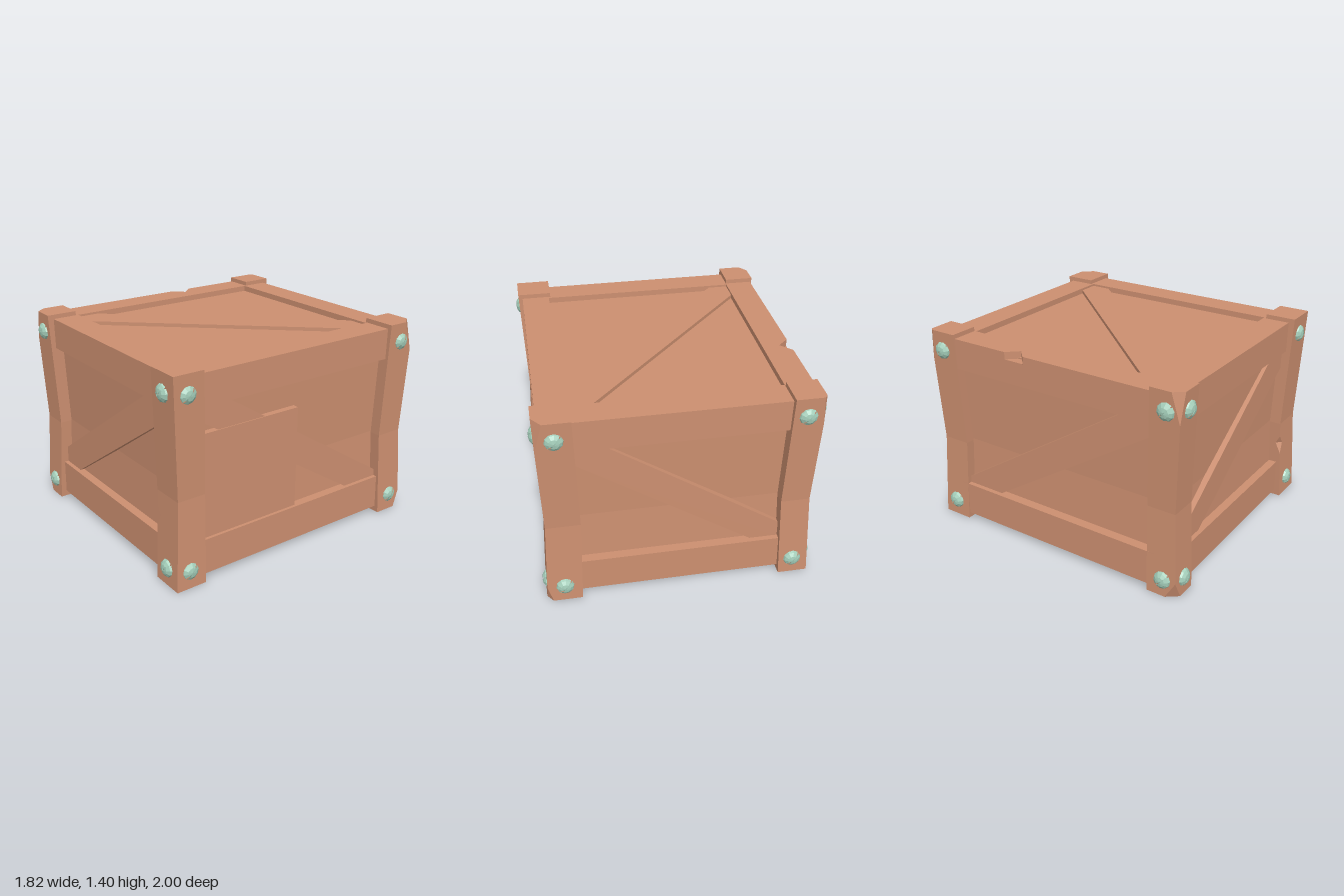
import * as THREE from 'three';

const wood = new THREE.MeshStandardMaterial({ color: 0xcc8f70 });
wood.name = 'warm wood';
wood.flatShading = true;
const metal = new THREE.MeshStandardMaterial({ color: 0xa5cfbb, side: THREE.DoubleSide });
metal.name = 'mint metal';
metal.flatShading = true;

function add(parent, name, geometry, material = wood) {
  const mesh = new THREE.Mesh(geometry, material);
  mesh.name = name;
  parent.add(mesh);
  return mesh;
}

// box given by its two extreme corners
function block(x0, x1, y0, y1, z0, z1, ySegments = 1) {
  const g = new THREE.BoxGeometry(x1 - x0, y1 - y0, z1 - z0, 1, ySegments, 1);
  return g.translate((x0 + x1) / 2, (y0 + y1) / 2, (z0 + z1) / 2);
}

function plate(points, depth) {
  const shape = new THREE.Shape(points.map(([x, y]) => new THREE.Vector2(x, y)));
  return new THREE.ExtrudeGeometry(shape, { depth, bevelEnabled: false });
}

// amount of inward bend: 1 at the waist, 0 at both ends
const waist = y => (y < 0.6 ? y / 0.6 : (1.4 - y) / 0.8);

// corner post: waisted cross-sections, with optional chips on the outer and inner edges
function postGeometry(sx, sz, chipTop, chipBottom, notch) {
  const [xi, xo] = sx > 0 ? [0.66, 0.893] : [0.68, 0.88];
  const zi = 0.76, zo = 0.973;
  const levels = [0, 0.12, 0.36, 0.44, 0.5, 0.6, 1.2, 1.4];
  const pos = [], index = [], n = 6;
  levels.forEach((y, k) => {
    const p = waist(y);
    const a = xi - 0.018 * p, b = xo - 0.026 * p;
    const c = zi - 0.016 * p, d = zo - 0.032 * p;
    const chip = k === 0 ? chipBottom : k === levels.length - 1 ? chipTop : 0;
    const cut = k === 3 ? notch : 0;
    const ring = [[a, c], [a, d - cut], [a + cut, d], [b - chip, d], [b, d - chip * 1.3], [b, c]];
    ring.forEach(([x, z]) => pos.push(x * sx, y, z * sz));
  });
  const tri = (a, b, c) => (sx * sz > 0 ? index.push(a, b, c) : index.push(a, c, b));
  for (let k = 0; k < levels.length - 1; k++) {
    for (let i = 0; i < n; i++) {
      const j = (i + 1) % n, lo = k * n, hi = lo + n;
      tri(lo + i, lo + j, hi + j);
      tri(lo + i, hi + j, hi + i);
    }
  }
  const top = (levels.length - 1) * n;
  for (let i = 1; i < n - 1; i++) {
    tri(top, top + i, top + i + 1);
    tri(0, i + 1, i);
  }
  const g = new THREE.BufferGeometry();
  g.setAttribute('position', new THREE.Float32BufferAttribute(pos, 3));
  g.setIndex(index);
  const flat = g.toNonIndexed();
  flat.computeVertexNormals();
  return flat;
}

// slotted screw head, domed along +z
function screw() {
  const head = new THREE.Group();
  head.name = 'screw';
  for (const s of [-1, 1]) {
    const half = new THREE.SphereGeometry(1, 5, 3, 0, Math.PI, 0, Math.PI / 2);
    half.scale(0.062, 0.042, 0.058).translate(0, 0, 0.004);
    half.rotateX(Math.PI / 2);
    if (s < 0) half.rotateZ(Math.PI);
    add(head, 'screwHalf', half, metal).rotation.z = Math.PI / 4;
  }
  const core = new THREE.SphereGeometry(1, 8, 3, 0, Math.PI * 2, 0, Math.PI / 2);
  core.scale(0.05, 0.03, 0.05).rotateX(Math.PI / 2);
  add(head, 'screwCore', core, metal);
  return head;
}

export function createModel() {
  const crate = new THREE.Group();
  crate.name = 'crate';

  // panelled body, slightly pinched at the waist
  const body = block(-0.81, 0.81, 0.08, 1.33, -0.88, 0.88, 2);
  const bp = body.attributes.position;
  for (let i = 0; i < bp.count; i++) {
    if (Math.abs(bp.getY(i) - 0.705) < 0.01) {
      bp.setXYZ(i, bp.getX(i) * 0.973, 0.61, bp.getZ(i) * 0.975);
    }
  }
  body.computeVertexNormals();
  add(crate, 'panels', body);

  // overlapping board on one side
  add(crate, 'sideBoard', block(0.78, 0.842, 0.2, 0.98, 0, 0.78));

  // rails along the top and bottom edges
  for (const [y0, y1, tag] of [[0.04, 0.28, 'bottom'], [1.16, 1.37, 'top']]) {
    add(crate, tag + 'FrontRail', block(-0.72, 0.72, y0, y1, 0.74, 0.93));
    add(crate, tag + 'BackRail', block(-0.72, 0.72, y0, y1, -0.935, -0.745));
    add(crate, tag + 'RightRail', block(0.672, 0.863, y0, y1, -0.8, 0.8));
    const chipped = tag === 'top';
    add(crate, tag + 'LeftRail', block(-0.868, -0.678, y0, chipped ? 1.32 : y1, -0.8, 0.8));
    if (chipped) {
      // upper layer of this rail has a small triangular chip
      const layer = plate([[-0.868, -0.8], [-0.678, -0.8], [-0.678, 0.8], [-0.868, 0.8],
        [-0.868, -0.18], [-0.795, -0.25], [-0.868, -0.33]], 0.05);
      add(crate, 'topLeftRailCap', layer.rotateX(Math.PI / 2).translate(0, 1.37, 0));
    }
  }

  // diagonal braces, one on every face
  const endBrace = [[-0.67, 0.27], [-0.495, 0.27], [0.66, 1.037], [0.66, 1.17], [0.495, 1.17], [-0.67, 0.393]];
  const sideBrace = [[-0.76, 1.17], [-0.76, 1.067], [0.48, 0.27], [0.76, 0.27], [0.76, 0.321], [-0.56, 1.17]];
  const flatBrace = [[-0.68, 0.59], [0.53, -0.75], [0.68, -0.75], [0.68, -0.61], [-0.55, 0.75], [-0.68, 0.75]];
  add(crate, 'frontBrace', plate(endBrace, 0.06).translate(0, 0, 0.84));
  add(crate, 'backBrace', plate(endBrace, 0.06).translate(0, 0, -0.9));
  add(crate, 'rightBrace', plate(sideBrace, 0.06).rotateY(Math.PI / 2).translate(0.776, 0, 0));
  add(crate, 'leftBrace', plate(sideBrace, 0.06).rotateY(Math.PI / 2).translate(-0.836, 0, 0));
  add(crate, 'topBrace', plate(flatBrace, 0.06).rotateX(Math.PI / 2).translate(0, 1.355, 0));
  add(crate, 'bottomBrace', plate(flatBrace, 0.06).rotateX(Math.PI / 2).translate(0, 0.115, 0));

  // corner posts: side signs, top chip, bottom chip, inner notch
  const posts = [
    [1, 1, 0, 0, 0.035],
    [-1, 1, 0.05, 0.06, 0],
    [1, -1, 0.06, 0.04, 0],
    [-1, -1, 0.02, 0, 0],
  ];
  for (const [sx, sz, top, bottom, notch] of posts) {
    add(crate, 'cornerPost', postGeometry(sx, sz, top, bottom, notch));

    // two screws on each outer face of the post
    for (const y of [0.115, 1.27]) {
      const onEnd = screw();
      onEnd.position.set(0.77 * sx, y, 0.958 * sz);
      if (sz < 0) onEnd.rotation.y = Math.PI;
      const onSide = screw();
      onSide.position.set(sx > 0 ? 0.872 : -0.868, y, 0.87 * sz);
      onSide.rotation.y = sx * Math.PI / 2;
      crate.add(onEnd, onSide);
    }
  }
  return crate;
}
